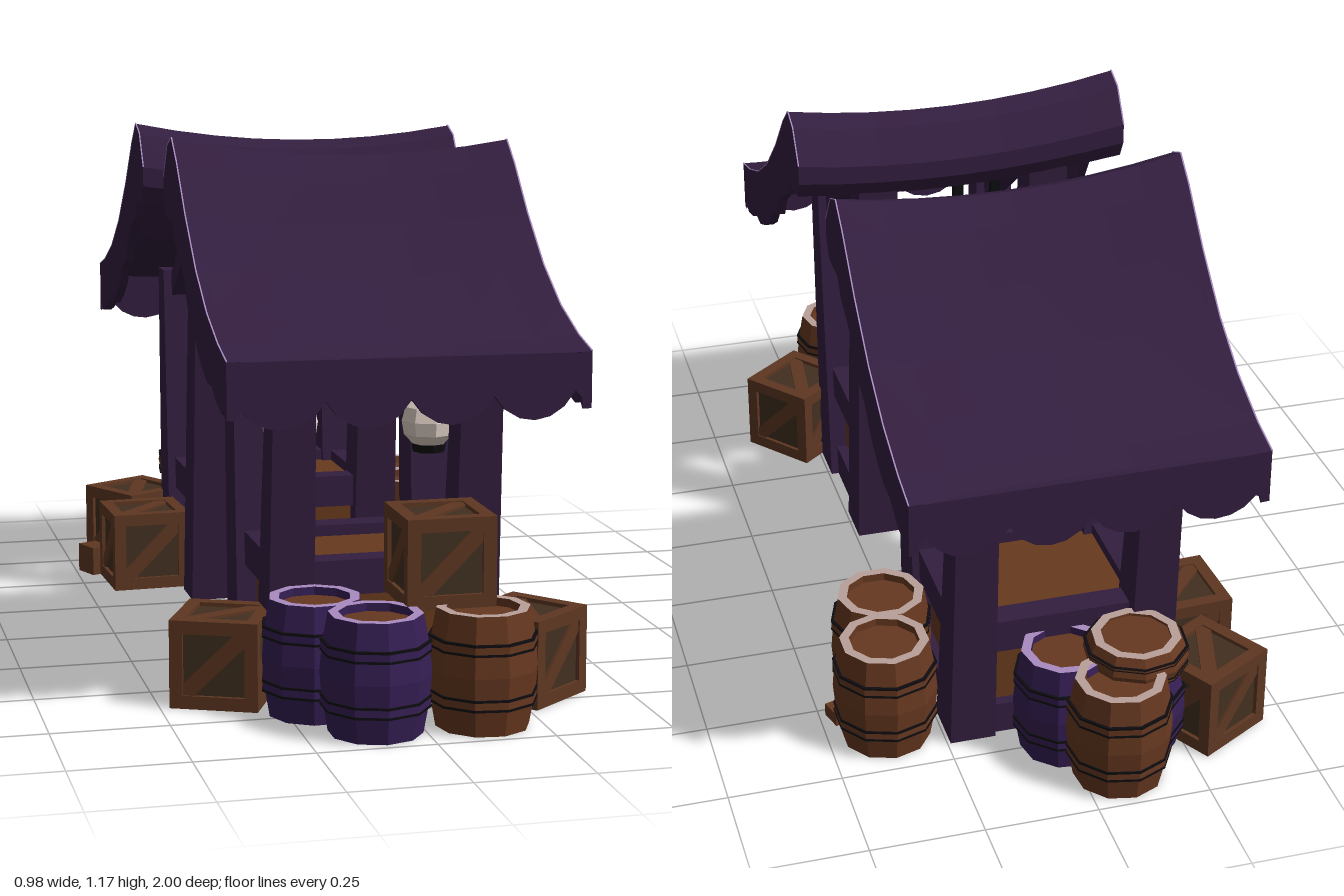
import * as THREE from 'three';

const mat = (name, color) => {
  const m = new THREE.MeshStandardMaterial({ color, side: THREE.DoubleSide });
  m.name = name;
  return m;
};
const M = {
  cloth: mat('dark purple', 0x331e3f),
  barrelPurple: mat('barrel purple', 0x361f55),
  brown: mat('barrel brown', 0x673820),
  crate: mat('crate wood', 0x5e3722),
  dark: mat('dark panel', 0x423020),
  counter: mat('counter wood', 0x673a1d),
  black: mat('iron black', 0x0e0c10),
  paper: mat('lantern paper', 0xe2d3c8),
  lavender: mat('lavender rim', 0xa88bc0),
  tan: mat('tan rim', 0xb8a199),
};

// faceted mesh helper
function add(parent, name, geo, material, x = 0, y = 0, z = 0) {
  const g = geo.index ? geo.toNonIndexed() : geo;
  g.computeVertexNormals();
  const m = new THREE.Mesh(g, material);
  m.name = name;
  m.position.set(x, y, z);
  parent.add(m);
  return m;
}
const box = (p, name, m, w, h, d, x, y, z) => add(p, name, new THREE.BoxGeometry(w, h, d), m, x, y, z);

function group(parent, name, x = 0, y = 0, z = 0, ry = 0) {
  const g = new THREE.Group();
  g.name = name;
  g.position.set(x, y, z);
  g.rotation.y = ry;
  parent.add(g);
  return g;
}

// roof sags between its ends, most at the ridge; the +x end hangs lower
function sag(geo) {
  const p = geo.attributes.position;
  for (let i = 0; i < p.count; i++) {
    const x = p.getX(i), y = p.getY(i);
    const k = THREE.MathUtils.clamp((y - 0.6) / 0.55, 0.25, 1);
    const t = (x + 0.39) / 0.77;
    p.setY(i, y - k * (0.016 * t + 0.145 * t * (1 - t)));
  }
  return geo;
}

// extrude a (z, y) outline along x
function alongX(points, x0, x1, steps) {
  const shape = new THREE.Shape(points.map(([z, y]) => new THREE.Vector2(z, y)));
  const geo = new THREE.ExtrudeGeometry(shape, { depth: x1 - x0, steps, bevelEnabled: false });
  return geo.rotateY(-Math.PI / 2).translate(x1, 0, 0);
}

function roof(parent) {
  const g = group(parent, 'roof');
  const outer = [[0.807, 0.76], [0.72, 0.782], [0.60, 0.83], [0.48, 0.905], [0.36, 1.01], [0.26, 1.115],
    [0.20, 1.165], [0.15, 1.145], [0.098, 1.07], [0.098, 1.025], [0.12, 0.985]];
  const inner = [[0.15, 0.99], [0.135, 1.045], [0.165, 1.10], [0.20, 1.118], [0.24, 1.08], [0.34, 0.97],
    [0.46, 0.87], [0.60, 0.795], [0.72, 0.748], [0.79, 0.73]];
  add(g, 'canopy', sag(alongX([...outer, ...inner], -0.39, 0.38, 8)), M.cloth);
  // scalloped side valances
  const hem = [[0.20, 0.98], [0.23, 0.94], [0.29, 0.91], [0.345, 0.87], [0.38, 0.815], [0.44, 0.79], [0.48, 0.745],
    [0.54, 0.71], [0.60, 0.685], [0.65, 0.685], [0.70, 0.66], [0.76, 0.645], [0.785, 0.66], [0.807, 0.64]];
  for (const x of [-0.39, 0.36])
    add(g, 'sideValance', sag(alongX([...outer, ...hem], x, x + 0.02, 1)), M.cloth);
  // pale piping along both gable edges
  const piping = outer.slice(0, 9);
  const raised = piping.map(([z, y]) => [z, y + 0.002]).reverse();
  for (const x of [-0.391, 0.378])
    add(g, 'edgePiping', sag(alongX([...piping, ...raised], x, x + 0.003, 1)), M.lavender);
  // scalloped front valance
  const s = new THREE.Shape();
  s.moveTo(-0.39, 0.758);
  s.lineTo(-0.39, 0.64);
  s.lineTo(-0.36, 0.66);
  const peaks = [-0.36, -0.185, -0.005, 0.17, 0.345];
  for (let i = 1; i < peaks.length; i++) {
    const a = peaks[i - 1], b = peaks[i];
    s.bezierCurveTo(a + 0.04, 0.605, b - 0.04, 0.605, b, 0.68);
  }
  s.lineTo(0.38, 0.64);
  s.lineTo(0.38, 0.758);
  const front = new THREE.ExtrudeGeometry(s, { depth: 0.018, bevelEnabled: false, curveSegments: 6 });
  add(g, 'frontValance', sag(front), M.cloth, 0, 0, 0.789);
}

// tapered leaning post: [z, depth] at the foot and at the top
function post(parent, name, x, [z0, d0], [z1, d1], h) {
  const geo = new THREE.BoxGeometry(1, h, 1).translate(0, h / 2, 0);
  const p = geo.attributes.position;
  for (let i = 0; i < p.count; i++) {
    const top = p.getY(i) > h / 2;
    p.setX(i, x + p.getX(i) * (top ? 0.09 : 0.102));
    p.setZ(i, (top ? z1 : z0) + p.getZ(i) * (top ? d1 : d0));
  }
  add(parent, name, geo, M.cloth);
}

function stall(parent, name, z, facing) {
  const g = group(parent, name, 0, 0, z);
  g.scale.z = facing;
  roof(g);
  for (const x of [-0.215, 0.192]) {
    post(g, 'frontPost', x, [0.548, 0.122], [0.622, 0.075], 0.765);
    post(g, 'backPost', x, [0.238, 0.115], [0.158, 0.09], 1.04);
    box(g, 'roofRafter', M.cloth, 0.05, 0.05, 0.5, x, 0.865, 0.40).rotation.x = 0.64;
  }
  // counter: wooden core, purple rails above and below
  box(g, 'counterCore', M.counter, 0.42, 0.22, 0.35, -0.01, 0.155, 0.395);
  box(g, 'counterUnderside', M.dark, 0.42, 0.02, 0.35, -0.01, 0.035, 0.395);
  for (const [y, h] of [[0.252, 0.076], [0.037, 0.074]]) {
    for (const zz of [0.225, 0.565]) box(g, 'counterRail', M.cloth, 0.40, h, 0.06, -0.01, y, zz);
    for (const x of [-0.215, 0.195]) box(g, 'counterSideRail', M.cloth, 0.06, h, 0.34, x, y, 0.395);
  }
}

function barrel(parent, purple, x, z, ry = 0, h = 0.25, y0 = 0) {
  const g = group(parent, 'barrel', x, y0, z, ry);
  const body = purple ? M.barrelPurple : M.brown;
  const lathe = (pts) => new THREE.LatheGeometry(pts.map(([r, y]) => new THREE.Vector2(r, y * h)), 10);
  add(g, 'barrelBody', lathe([[0.098, 0], [0.11, 0.27], [0.115, 0.5], [0.11, 0.73], [0.098, 1]]), body);
  add(g, 'barrelBottom', lathe([[0, 0], [0.098, 0]]), M.brown);
  add(g, 'barrelLid', lathe([[0.077, 0.93], [0, 0.93]]), M.brown);
  add(g, 'barrelInnerWall', lathe([[0.077, 1], [0.077, 0.93]]), body);
  add(g, 'barrelRim', lathe([[0.098, 1], [0.077, 1]]), purple ? M.lavender : M.tan);
  // hoops in the body colour with thin dark edges
  for (const y of [0.27, 0.73]) {
    add(g, 'barrelHoop', lathe([[0.108, y - 0.04], [0.113, y - 0.04], [0.113, y + 0.04], [0.108, y + 0.04]]), body);
    for (const e of [y - 0.04, y + 0.04])
      add(g, 'hoopEdge', lathe([[0.108, e - 0.01], [0.1145, e - 0.01], [0.1145, e + 0.01], [0.108, e + 0.01]]), M.black);
  }
}

function crate(parent, x, y, z, ry, s = 0.19) {
  const g = group(parent, 'crate', x, y + s / 2, z, ry);
  const t = s * 0.15, e = s / 2 - t / 2;
  box(g, 'cratePanels', M.dark, s * 0.91, s * 0.91, s * 0.91, 0, 0, 0);
  // edge beams along each axis
  for (const a of [-e, e]) for (const b of [-e, e]) {
    box(g, 'crateEdge', M.crate, s, t, t, 0, a, b);
    box(g, 'crateEdge', M.crate, t, s, t, a, 0, b);
    box(g, 'crateEdge', M.crate, t, t, s, a, b, 0);
  }
  // diagonal brace on every face
  const turns = [[0, 0], [0, 1], [0, 2], [0, 3], [1, 0], [-1, 0]];
  for (const [rx, r] of turns) {
    const f = group(g, 'crateFace');
    f.rotation.set(rx * Math.PI / 2, r * Math.PI / 2, 0);
    box(f, 'crateBrace', M.crate, s * 1.05, t * 1.2, s * 0.04, 0, 0, s * 0.465).rotation.z = Math.PI / 4;
  }
}

function lantern(parent, x, y, z, top) {
  const g = group(parent, 'lantern', x, y, z);
  add(g, 'lanternShade', new THREE.LatheGeometry(
    [[0.034, -0.05], [0.057, -0.025], [0.062, 0.005], [0.054, 0.035], [0.032, 0.052]].map(p => new THREE.Vector2(...p)), 8), M.paper);
  add(g, 'lanternCap', new THREE.CylinderGeometry(0.038, 0.04, 0.02, 8), M.black, 0, 0.058, 0);
  add(g, 'lanternBase', new THREE.CylinderGeometry(0.04, 0.036, 0.018, 8), M.black, 0, -0.056, 0);
  const len = top - y - 0.05;
  box(g, 'lanternHanger', M.black, 0.022, len, 0.022, 0, 0.05 + len / 2, 0);
}

export function createModel() {
  const model = new THREE.Group();
  model.name = 'marketStalls';
  stall(model, 'frontStall', 0, 1);
  stall(model, 'backStall', -0.085, -1);

  // goods: [purple, x, z, turn, height, base]
  const barrels = [[true, -0.10, 0.885, 0], [true, -0.19, 0.725, 0.4], [false, 0.127, 0.885, 0.2],
    [false, -0.08, -0.885, 0.1], [true, -0.145, -0.78, 0.5, 0.2], [false, -0.145, -0.79, 0.5, 0.085, 0.2],
    [true, 0.0, -0.75, 0.2], [false, 0.335, -0.44, 0.3], [false, 0.37, -0.615, 0]];
  for (const b of barrels) barrel(model, ...b);

  crate(model, 0.068, 0.24, 0.765, 0);
  crate(model, 0.28, 0, 0.69, 0.68);
  crate(model, -0.355, 0, 0.58, -0.42);
  crate(model, -0.32, 0, -0.76, 0.52);
  crate(model, -0.345, 0, -0.50, 0.05);
  // loose wood scraps
  box(model, 'looseBoard', M.crate, 0.05, 0.07, 0.07, -0.455, 0.035, -0.62).rotation.y = 0.4;
  box(model, 'looseWedge', M.brown, 0.08, 0.03, 0.05, 0.44, 0.015, -0.53).rotation.y = 0.3;

  // lanterns: [x, y, z, hanger top]
  const lanterns = [[0.138, 0.55, 0.425, 0.87], [-0.18, 0.56, 0.45, 0.87], [-0.01, 0.685, 0.168, 1.0],
    [0.16, 0.605, -0.39, 0.84], [0.15, 0.60, -0.53, 0.86], [-0.16, 0.60, -0.53, 0.86], [0.03, 0.80, -0.34, 1.02]];
  for (const l of lanterns) lantern(model, ...l);
  return model;
}
